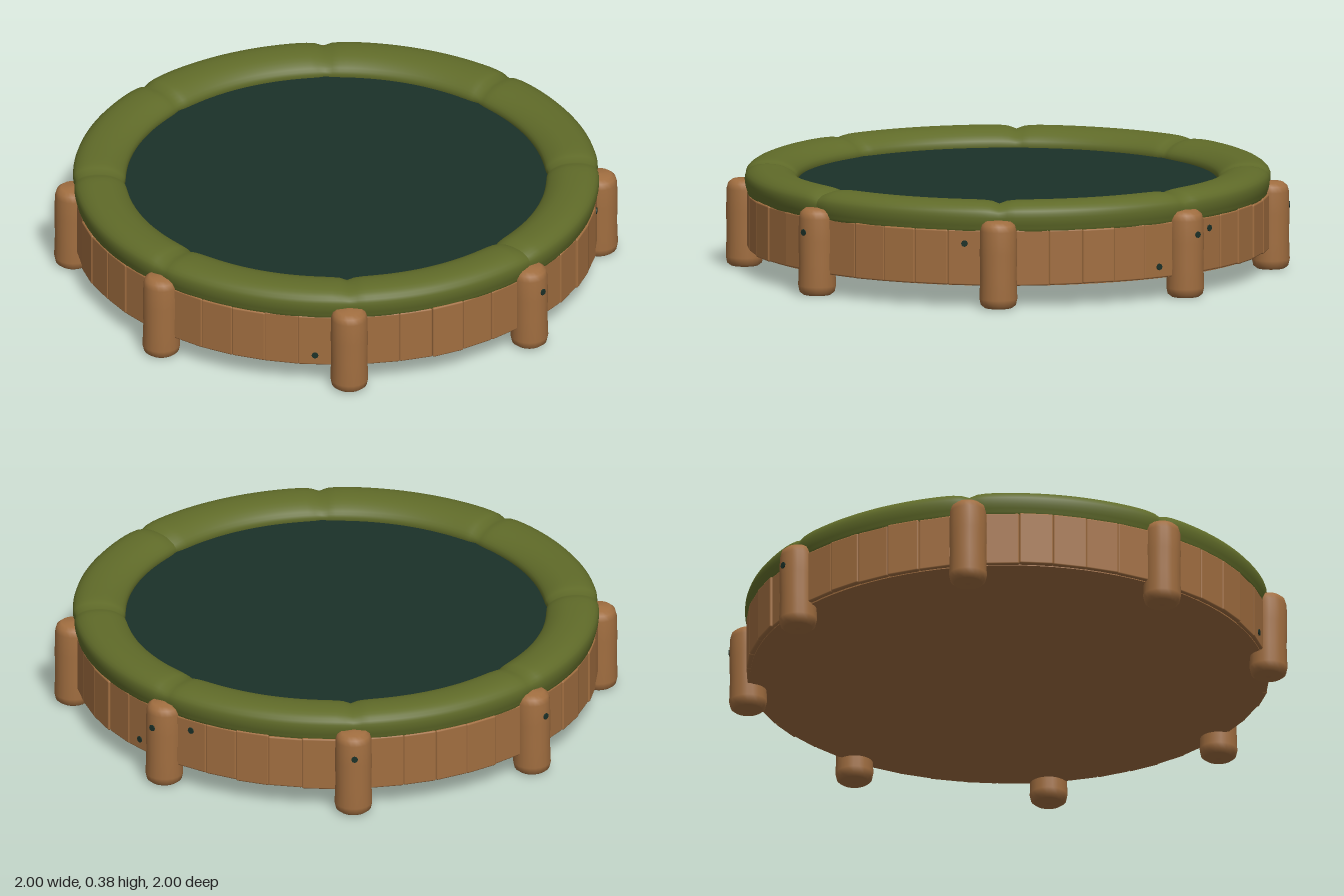
import * as THREE from 'three';
import { RoundedBoxGeometry } from 'three/addons/geometries/RoundedBoxGeometry.js';

const material = (name, color) => Object.assign(new THREE.MeshStandardMaterial({ color }), { name });

function seeded(seed) {
  return () => {
    seed = (seed * 16807) % 2147483647;
    return seed / 2147483647;
  };
}

export function createModel() {
  const wood = material('wood', 0xa16e40);
  const padGreen = material('pad green', 0x606b29);
  const matGreen = material('dark mat green', 0x1b3129);
  const rand = seeded(77);
  const model = new THREE.Group();
  model.name = 'trampoline';

  const add = (parent, name, geometry, mat, x = 0, y = 0, z = 0) => {
    const mesh = new THREE.Mesh(geometry, mat);
    mesh.name = name;
    mesh.position.set(x, y, z);
    parent.add(mesh);
    return mesh;
  };
  // group on the rim whose local +z points outward
  const onRim = (name, angle, radius) => {
    const group = new THREE.Group();
    group.name = name;
    group.position.set(Math.sin(angle) * radius, 0, Math.cos(angle) * radius);
    group.rotation.y = angle;
    model.add(group);
    return group;
  };
  const knotGeometry = new THREE.CylinderGeometry(0.012, 0.012, 0.008, 8).rotateX(Math.PI / 2);

  // Jumping mat and closed base
  add(model, 'jumpingMat', new THREE.CylinderGeometry(0.79, 0.79, 0.03, 64), matGreen, 0, 0.297, 0);
  add(model, 'base', new THREE.CylinderGeometry(0.922, 0.922, 0.19, 96), wood, 0, 0.172, 0);

  // Padded ring, creased at eight seams
  const profile = new THREE.SplineCurve([
    [0.8, 0.275], [0.917, 0.268], [0.934, 0.285], [0.942, 0.32], [0.936, 0.35], [0.905, 0.371],
    [0.86, 0.377], [0.81, 0.371], [0.77, 0.35], [0.752, 0.325], [0.76, 0.295], [0.8, 0.275],
  ].map(([x, y]) => new THREE.Vector2(x, y))).getPoints(28);
  const ring = new THREE.LatheGeometry(profile, 192);
  const p = ring.attributes.position;
  for (let i = 0; i < p.count; i++) {
    const sector = Math.atan2(p.getX(i), p.getZ(i)) / (Math.PI / 4);
    const seamDistance = Math.abs(sector - Math.round(sector));
    const crease = Math.exp(-seamDistance * 30);
    const r = Math.hypot(p.getX(i), p.getZ(i));
    const scale = (0.845 + (r - 0.845) * (1 - 0.08 * crease)) / r;
    p.setXYZ(i, p.getX(i) * scale, 0.31 + (p.getY(i) - 0.31) * (1 - 0.22 * crease), p.getZ(i) * scale);
  }
  ring.computeVertexNormals();
  add(model, 'paddedRing', ring, padGreen);

  // Plank skirt with slightly uneven boards
  const plankKnots = { 5: 0.23, 11: 0.12, 13: 0.235, 41: 0.12 };
  const plankCount = 48;
  for (let i = 0; i < plankCount; i++) {
    const plank = onRim('plank', (i / plankCount) * Math.PI * 2, 0.909 + rand() * 0.007);
    const height = 0.194 + rand() * 0.008;
    const board = new RoundedBoxGeometry(0.12 + rand() * 0.006, height, 0.046, 2, 0.006);
    add(plank, 'board', board, wood, 0, 0.179, 0).rotation.y = (rand() - 0.5) * 0.05;
    if (plankKnots[i]) add(plank, 'plankKnot', knotGeometry, matGreen, 0, plankKnots[i], 0.023);
  }

  // Eight rounded log posts
  const postProfile = [
    [0, 0], [0.05, 0.002], [0.063, 0.012], [0.068, 0.035], [0.065, 0.12], [0.067, 0.2],
    [0.065, 0.28], [0.059, 0.301], [0.044, 0.313], [0, 0.316],
  ].map(([x, y]) => new THREE.Vector2(x, y));
  const postGeometry = new THREE.LatheGeometry(postProfile, 20);
  for (let i = 0; i < 8; i++) {
    const post = onRim('post', (i * Math.PI) / 4, i % 2 ? 0.942 : 0.932);
    add(post, 'log', postGeometry, wood).rotation.y = rand() * 6;
    if ([0, 2, 3, 4].includes(i)) add(post, 'postKnot', knotGeometry, matGreen, 0, 0.232, 0.065);
  }
  return model;
}
